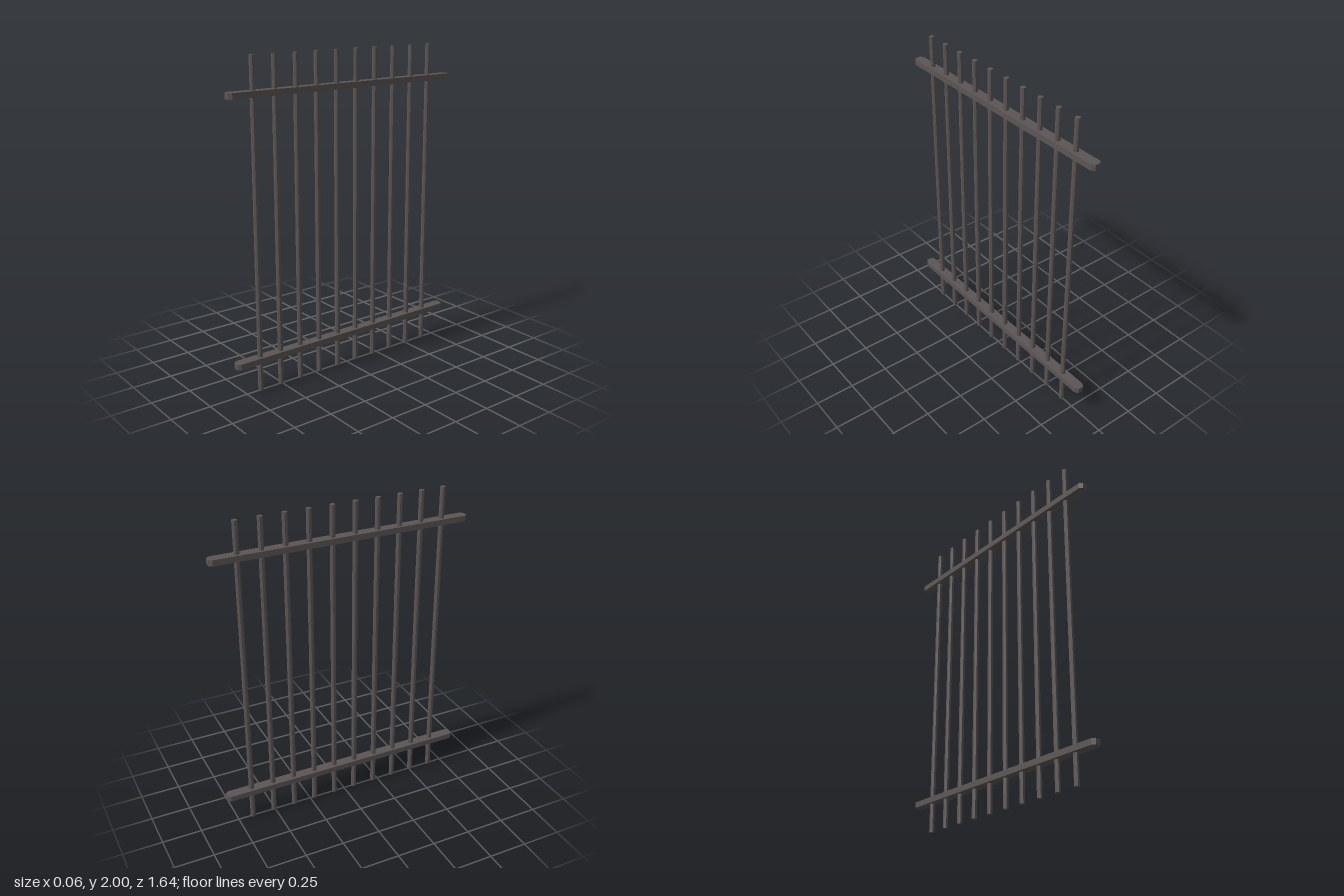
import * as THREE from 'three';

export function createModel() {
  const group = new THREE.Group();
  const iron = new THREE.MeshStandardMaterial({ color: 0x5c5555, flatShading: true });
  iron.name = 'dark iron';

  // Vertical octagonal bars, evenly spaced along z
  const barCount = 10, spacing = 0.145;
  const barGeometry = new THREE.CylinderGeometry(0.0165, 0.0165, 2, 8);
  barGeometry.rotateY(Math.PI / 8);
  for (let i = 0; i < barCount; i++) {
    const bar = new THREE.Mesh(barGeometry, iron);
    bar.name = `bar${i + 1}`;
    bar.position.set(0, 1, (i - (barCount - 1) / 2) * spacing);
    group.add(bar);
  }

  // Flat rails with clipped corners, outlined in plan and extruded upward
  const halfWidth = 0.032, halfLength = 0.82, tip = 0.016, clip = 0.02, height = 0.036;
  const outline = new THREE.Shape([
    [tip, -halfLength], [halfWidth, clip - halfLength],
    [halfWidth, halfLength - clip], [tip, halfLength],
    [-tip, halfLength], [-halfWidth, halfLength - clip],
    [-halfWidth, clip - halfLength], [-tip, -halfLength],
  ].map(([x, z]) => new THREE.Vector2(x, z)));
  const railGeometry = new THREE.ExtrudeGeometry(outline, { depth: height, bevelEnabled: false });
  railGeometry.translate(0, 0, -height / 2);
  railGeometry.rotateX(-Math.PI / 2);
  for (const [name, y] of [['lowerRail', 0.2], ['upperRail', 1.787]]) {
    const rail = new THREE.Mesh(railGeometry, iron);
    rail.name = name;
    rail.position.y = y;
    group.add(rail);
  }

  return group;
}
